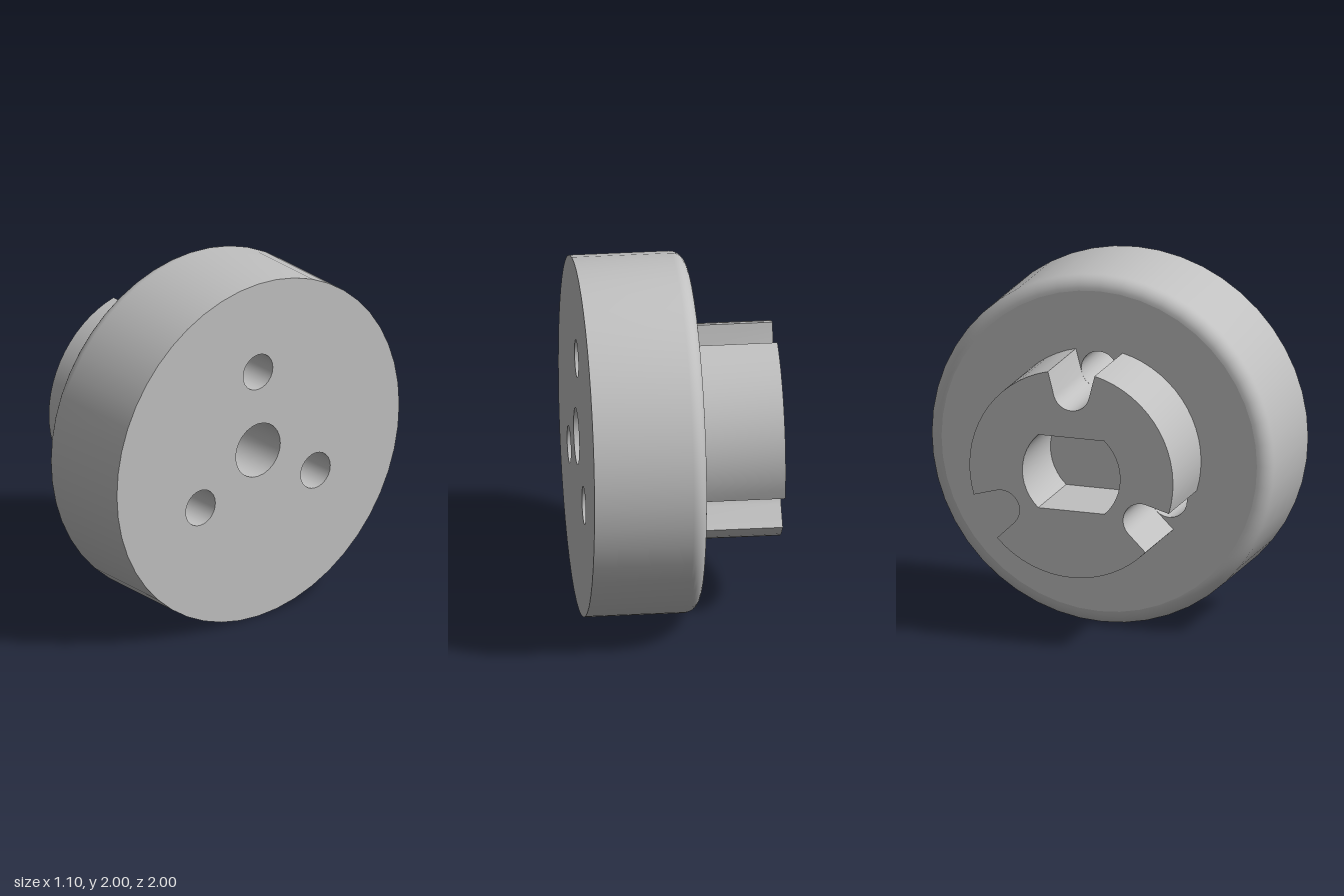
import * as THREE from 'three';
import { toCreasedNormals } from 'three/addons/utils/BufferGeometryUtils.js';

const X_BACK = -0.55, X_STEP = -0.08, X_FACE = 0.55; // hub end, disc shoulder, flat face
const R_DISC = 1, FILLET = 0.08, R_HUB = 0.594;
const R_HOLE = 0.105, HOLE_DIST = 0.47, R_BORE = 0.158, BORE_FLOOR = 0.15;
const SEG = 48, HOLE_SEG = 24, DEG = Math.PI / 180;
const SPOKES = [90, 210, 330].map((d) => d * DEG);

// Points along an arc, both ends included
function arc(cx, cy, r, a0, a1, n) {
  return Array.from({ length: n + 1 }, (_, i) => {
    const a = a0 + ((a1 - a0) * i) / n;
    return new THREE.Vector2(cx + r * Math.cos(a), cy + r * Math.sin(a));
  });
}

function circle(cx, cy, r, n) {
  return arc(cx, cy, r, 0, Math.PI * 2, n).slice(0, n);
}

// Surface of revolution about the x axis from [radius, x] points
function turned(points, segments) {
  const g = new THREE.LatheGeometry(points.map(([r, x]) => new THREE.Vector2(r, x)), segments);
  return toCreasedNormals(g.rotateZ(-Math.PI / 2), 0.6);
}

// Flat disc pierced by the three screw holes
function piercedDisc(r, extraHoles = []) {
  const shape = new THREE.Shape(circle(0, 0, r, SEG));
  for (const a of SPOKES) {
    shape.holes.push(new THREE.Path(
      circle(HOLE_DIST * Math.cos(a), HOLE_DIST * Math.sin(a), R_HOLE, HOLE_SEG)));
  }
  shape.holes.push(...extraHoles);
  return new THREE.ShapeGeometry(shape);
}

// Hub outline: round, with three flared slots, and a two-flat pocket
function hubShape() {
  const flare = 15 * DEG, half = Math.asin(0.136 / R_HUB);
  const outline = [];
  for (const a of SPOKES) {
    const cx = HOLE_DIST * Math.cos(a), cy = HOLE_DIST * Math.sin(a);
    const turn = Math.PI / 2 + flare;
    outline.push(...arc(cx, cy, R_HOLE, a - turn, a - 2 * Math.PI + turn, 12));
    outline.push(...arc(0, 0, R_HUB, a + half, a + 120 * DEG - half, 16));
  }
  const shape = new THREE.Shape(outline);
  const t = Math.asin(0.21 / 0.285);
  shape.holes.push(new THREE.Path([
    ...arc(0, 0, 0.285, -t, t, 12),
    ...arc(0, 0, 0.285, Math.PI - t, Math.PI + t, 12),
  ]));
  return shape;
}

export function createModel() {
  const group = new THREE.Group();
  const grey = new THREE.MeshStandardMaterial({ color: 0xc0c0c0 });
  grey.name = 'grey';

  const add = (name, geometry, x = 0, y = 0, z = 0) => {
    const mesh = new THREE.Mesh(geometry, grey);
    mesh.name = name;
    mesh.position.set(x, 1 + y, z);
    group.add(mesh);
  };

  // Outer rim with its rounded shoulder
  const rim = arc(R_DISC - FILLET, X_STEP + FILLET, FILLET, -Math.PI / 2, 0, 8)
    .map((p) => [p.x, p.y]);
  add('discRim', turned([...rim, [R_DISC, X_FACE]], SEG));

  // Flat faces of the disc
  const borePath = new THREE.Path(circle(0, 0, R_BORE, HOLE_SEG));
  add('discFace', piercedDisc(R_DISC, [borePath]).rotateY(Math.PI / 2), X_FACE);
  add('discShoulder', piercedDisc(R_DISC - FILLET).rotateY(-Math.PI / 2), X_STEP);

  // Blind centre bore and through screw holes
  add('centreBore', turned([[R_BORE, X_FACE], [R_BORE, BORE_FLOOR], [0, BORE_FLOOR]], HOLE_SEG));
  for (const a of SPOKES) {
    add('screwHole', turned([[R_HOLE, X_FACE], [R_HOLE, X_STEP]], HOLE_SEG),
      0, HOLE_DIST * Math.sin(a), HOLE_DIST * Math.cos(a));
  }

  // Slotted hub
  const hub = new THREE.ExtrudeGeometry(hubShape(), { depth: X_STEP - X_BACK, bevelEnabled: false });
  add('slottedHub', toCreasedNormals(hub.rotateY(Math.PI / 2), 0.45), X_BACK);

  return group;
}
